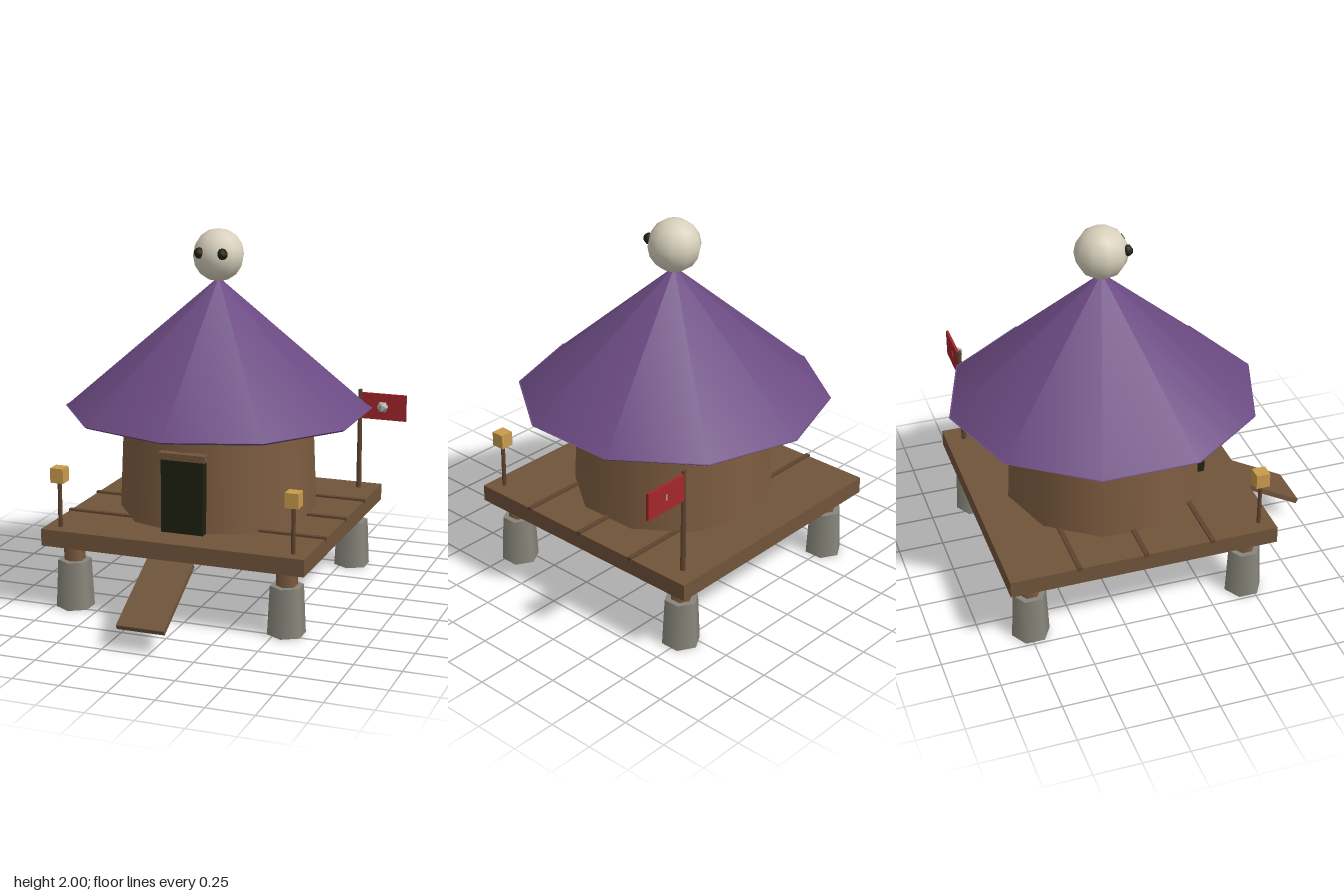
import * as THREE from 'three';

const mat = (name, color) => {
  const m = new THREE.MeshStandardMaterial({ color });
  m.name = name;
  return m;
};

export function createModel() {
  const purple = mat('roof purple', 0x6b4a82);
  const wallBrown = mat('wall brown', 0x7d5c40);
  const plankBrown = mat('plank brown', 0x70543a);
  const poleBrown = mat('pole brown', 0x5e442f);
  const stone = mat('stone grey', 0x88867b);
  const bone = mat('bone white', 0xd8d0bc);
  const dark = mat('dark opening', 0x1f2010);
  const red = mat('flag red', 0xa3262b);
  const gold = mat('lantern gold', 0xc99b4c);
  const silver = mat('emblem silver', 0xaaa8a4);

  const model = new THREE.Group();
  model.name = 'stiltHut';
  // The hut's own axis is offset from the centre because of ramp and flag
  const hut = new THREE.Group();
  hut.name = 'hut';
  hut.position.set(-0.045, 0, -0.14);
  model.add(hut);

  const add = (name, geometry, material, x, y, z) => {
    const mesh = new THREE.Mesh(geometry, material);
    mesh.name = name;
    mesh.position.set(x, y, z);
    hut.add(mesh);
    return mesh;
  };
  const box = (w, h, d) => new THREE.BoxGeometry(w, h, d);
  const cyl = (rTop, rBottom, h, n) => new THREE.CylinderGeometry(rTop, rBottom, h, n);

  // Stilts on tapered stone feet
  for (const x of [-0.6, 0.6]) {
    for (const z of [-0.6, 0.6]) {
      add('stoneFoot', cyl(0.09, 0.103, 0.264, 6), stone, x, 0.133, z);
      add('stilt', cyl(0.057, 0.057, 0.37, 6), wallBrown, x, 0.185, z);
    }
  }

  // Deck with raised battens
  add('deck', box(1.465, 0.092, 1.465), plankBrown, 0, 0.41, 0);
  for (const z of [-0.365, 0, 0.365]) {
    add('deckBatten', box(1.475, 0.02, 0.025), poleBrown, 0, 0.456, z);
  }

  // Sloping ramp
  const ramp = add('ramp', box(0.26, 0.028, 0.47), plankBrown, 0, 0.235, 0.915);
  ramp.rotation.x = Math.atan2(0.225, 0.41);

  // Ten-sided wall, doorway and lintel
  add('wall', cyl(0.517, 0.542, 0.565, 10), wallBrown, 0, 0.7375, 0);
  add('door', box(0.235, 0.4, 0.055), dark, 0, 0.655, 0.523);
  add('lintel', box(0.26, 0.037, 0.05), plankBrown, 0, 0.872, 0.533);

  // Roof cone with a thin eave
  add('roof', new THREE.ConeGeometry(0.832, 0.715, 10), purple, 0, 1.3805, 0);
  add('eave', cyl(0.84, 0.822, 0.012, 10), purple, 0, 1.017, 0);

  // Finial skull with eye sockets
  add('skull', new THREE.SphereGeometry(0.142, 10, 8), bone, 0, 1.858, 0);
  for (const x of [-0.065, 0.065]) {
    add('eyeSocket', new THREE.SphereGeometry(0.031, 6, 5), dark, x, 1.88, 0.118);
  }

  // Lantern posts at the front corners
  for (const x of [-0.654, 0.65]) {
    add('lanternPost', cyl(0.011, 0.012, 0.26, 6), poleBrown, x, 0.58, 0.655);
    add('lantern', box(0.074, 0.08, 0.074), gold, x, 0.745, 0.655);
  }

  // Flagpole, flag and round emblem
  add('flagpole', cyl(0.012, 0.015, 0.58, 6), poleBrown, 0.625, 0.742, -0.63);
  add('flag', box(0.262, 0.15, 0.014), red, 0.762, 0.94, -0.633);
  add('flagEmblem', new THREE.IcosahedronGeometry(0.034, 0), silver, 0.76, 0.942, -0.613);

  return model;
}
